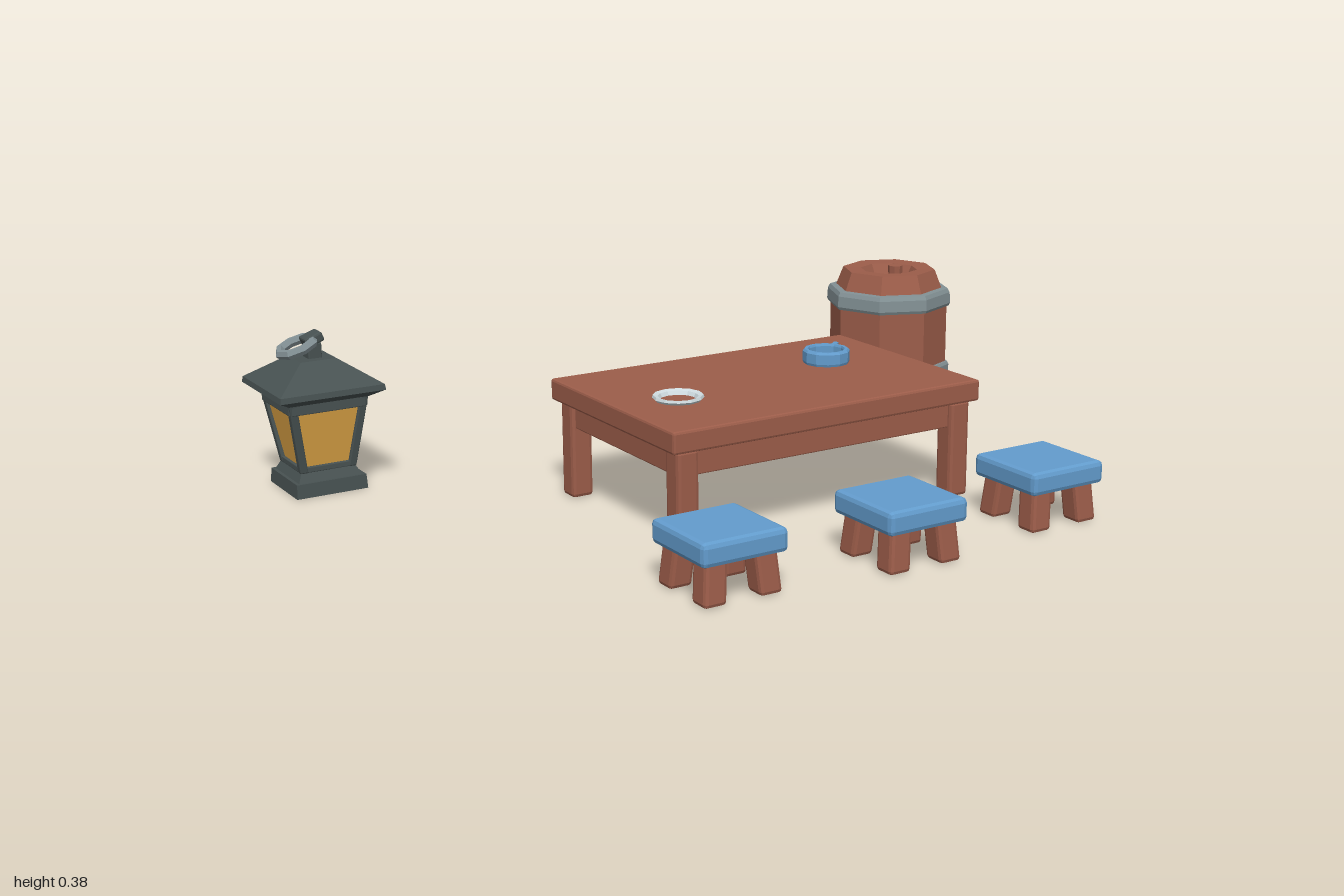
import * as THREE from 'three';
import { RoundedBoxGeometry } from 'three/addons/geometries/RoundedBoxGeometry.js';

const material = (name, color) => {
  const m = new THREE.MeshStandardMaterial({ color });
  m.name = name;
  return m;
};

// Faceted normals for the low-poly look
function flat(geo) {
  const g = geo.index ? geo.toNonIndexed() : geo;
  g.computeVertexNormals();
  return g;
}

function add(parent, name, geo, mat, x = 0, y = 0, z = 0) {
  const mesh = new THREE.Mesh(geo, mat);
  mesh.name = name;
  mesh.position.set(x, y, z);
  parent.add(mesh);
  return mesh;
}

function group(parent, name, x = 0, y = 0, z = 0) {
  const g = new THREE.Group();
  g.name = name;
  g.position.set(x, y, z);
  parent.add(g);
  return g;
}

const block = (w, h, d, bevel = 0.006) => flat(new RoundedBoxGeometry(w, h, d, 1, bevel));

const lathe = (points, sides) =>
  flat(new THREE.LatheGeometry(points.map(([r, y]) => new THREE.Vector2(r, y)), sides));

// Square frustum given by half widths at bottom and top
function frustum(half0, half1, y0, y1) {
  const g = new THREE.CylinderGeometry(half1 * Math.SQRT2, half0 * Math.SQRT2, y1 - y0, 4);
  g.rotateY(Math.PI / 4);
  g.translate(0, (y0 + y1) / 2, 0);
  return flat(g);
}

// Upright post sheared so that it runs from a bottom point to a top point
function leaningPost(bottom, top, width, bevel) {
  const h = top[1] - bottom[1];
  const g = new RoundedBoxGeometry(width, h, width, 1, bevel);
  const p = g.attributes.position;
  for (let i = 0; i < p.count; i++) {
    const t = p.getY(i) / h + 0.5;
    p.setXYZ(i,
      p.getX(i) + bottom[0] + (top[0] - bottom[0]) * t,
      bottom[1] + h * t,
      p.getZ(i) + bottom[2] + (top[2] - bottom[2]) * t);
  }
  return flat(g);
}

const corners = [[-1, -1], [1, -1], [1, 1], [-1, 1]];

export function createModel() {
  const wood = material('wood', 0x9c5d4a);
  const blue = material('blue paint', 0x639ccd);
  const metal = material('grey metal', 0x829094);
  const iron = material('dark iron', 0x485252);
  const glass = material('amber glass', 0xdda446);
  const pale = material('pale metal', 0xd0dce0);
  const model = new THREE.Group();
  model.name = 'tavernSet';

  // Table: top, solid under-frame and four legs
  const table = group(model, 'table', 0.005, 0, 0.072);
  add(table, 'tableTop', block(0.848, 0.052, 0.567), wood, 0, 0.26, 0);
  add(table, 'tableApron', block(0.79, 0.066, 0.515, 0.003), wood, 0, 0.206, 0);
  for (const [sx, sz] of corners)
    add(table, 'tableLeg', block(0.056, 0.237, 0.055, 0.009), wood, sx * 0.378, 0.1185, sz * 0.243);

  // Stools with splayed legs
  for (const [x, z] of [[-0.432, 0.56], [0.004, 0.607], [0.441, 0.56]]) {
    const stool = group(model, 'stool', x, 0, z);
    add(stool, 'stoolSeat', block(0.211, 0.055, 0.211, 0.012), blue, 0, 0.1175, 0);
    for (const [sx, sz] of corners)
      add(stool, 'stoolLeg', leaningPost([sx * 0.069, 0, sz * 0.069],
        [sx * 0.06, 0.1, sz * 0.06], 0.055, 0.009), wood);
  }

  // Barrel with recessed ends, two hoops and a bung
  const barrel = group(model, 'barrel', 0.824, 0, -0.528);
  add(barrel, 'barrelBody', lathe([
    [0, 0.03], [0.066, 0.03], [0.08, 0.003], [0.13, 0.001], [0.15, 0.054], [0.166, 0.105],
    [0.166, 0.265], [0.15, 0.316], [0.13, 0.367], [0.08, 0.365], [0.066, 0.337], [0, 0.337],
  ], 8), wood);
  const hoop = [[0.144, 0.053], [0.168, 0.055], [0.174, 0.066], [0.176, 0.096], [0.172, 0.104], [0.155, 0.106]];
  add(barrel, 'lowerHoop', lathe(hoop, 8), metal);
  add(barrel, 'upperHoop', lathe(hoop.map(([r, y]) => [r, 0.37 - y]).reverse(), 8), metal);
  add(barrel, 'bung', flat(new THREE.CylinderGeometry(0.021, 0.019, 0.04, 8)), wood, 0.023, 0.352, 0);

  // Lantern: stepped base, tapering glass, corner posts, hipped roof
  const lantern = group(model, 'lantern', -0.868, 0, -0.585);
  add(lantern, 'lanternFoot', frustum(0.09, 0.088, 0, 0.035), iron);
  add(lantern, 'lanternStep', frustum(0.08, 0.066, 0.035, 0.062), iron);
  add(lantern, 'lanternGlass', frustum(0.062, 0.09, 0.06, 0.22), glass);
  for (const [sx, sz] of corners)
    add(lantern, 'lanternPost', leaningPost([sx * 0.061, 0.055, sz * 0.061],
      [sx * 0.09, 0.235, sz * 0.09], 0.02, 0.003), iron);
  for (let i = 0; i < 4; i++) {
    const side = group(lantern, 'lanternRails');
    side.rotation.y = i * Math.PI / 2;
    add(side, 'lowerRail', block(0.13, 0.014, 0.016, 0.002), iron, 0, 0.063, 0.063);
    add(side, 'upperRail', block(0.185, 0.028, 0.016, 0.002), iron, 0, 0.222, 0.091);
  }
  add(lantern, 'roofUnderside', frustum(0.1, 0.131, 0.232, 0.25), iron);
  add(lantern, 'roofEave', frustum(0.132, 0.13, 0.25, 0.264), iron);
  add(lantern, 'roofSlope', frustum(0.13, 0.045, 0.264, 0.322), iron);
  add(lantern, 'roofNeck', block(0.035, 0.05, 0.04, 0.004), iron, 0.002, 0.335, 0);

  // Carrying ring, hanging down to one side from its clasp
  const carrier = group(lantern, 'carryingHandle', 0.002, 0.367, 0);
  carrier.rotation.z = 0.36;
  add(carrier, 'handleClasp', block(0.046, 0.024, 0.048, 0.005), iron);
  const ring = new THREE.TorusGeometry(0.044, 0.012, 6, 8);
  ring.rotateX(Math.PI / 2);
  add(carrier, 'carryingRing', flat(ring), metal, -0.041, 0, 0);

  // Open ring lying on the table
  add(model, 'tableRing', lathe([
    [0.041, 0.284], [0.052, 0.284], [0.06, 0.292], [0.058, 0.298], [0.047, 0.295], [0.041, 0.284],
  ], 12), pale, -0.266, 0, 0.122);

  // Mug with a side handle
  const mug = group(model, 'mug', 0.223, 0, 0.015);
  add(mug, 'mugWall', lathe([
    [0.044, 0.284], [0.055, 0.284], [0.058, 0.292], [0.058, 0.316], [0.054, 0.321],
    [0.046, 0.321], [0.044, 0.316], [0.044, 0.284],
  ], 12), blue);
  const arm = group(mug, 'mugHandle');
  arm.rotation.y = 0.7;
  add(arm, 'handleTop', block(0.048, 0.009, 0.014, 0.002), blue, 0.074, 0.311, 0);
  add(arm, 'handleGrip', block(0.01, 0.026, 0.014, 0.002), blue, 0.093, 0.301, 0);
  add(arm, 'handleBottom', block(0.048, 0.009, 0.014, 0.002), blue, 0.074, 0.291, 0);

  return model;
}
